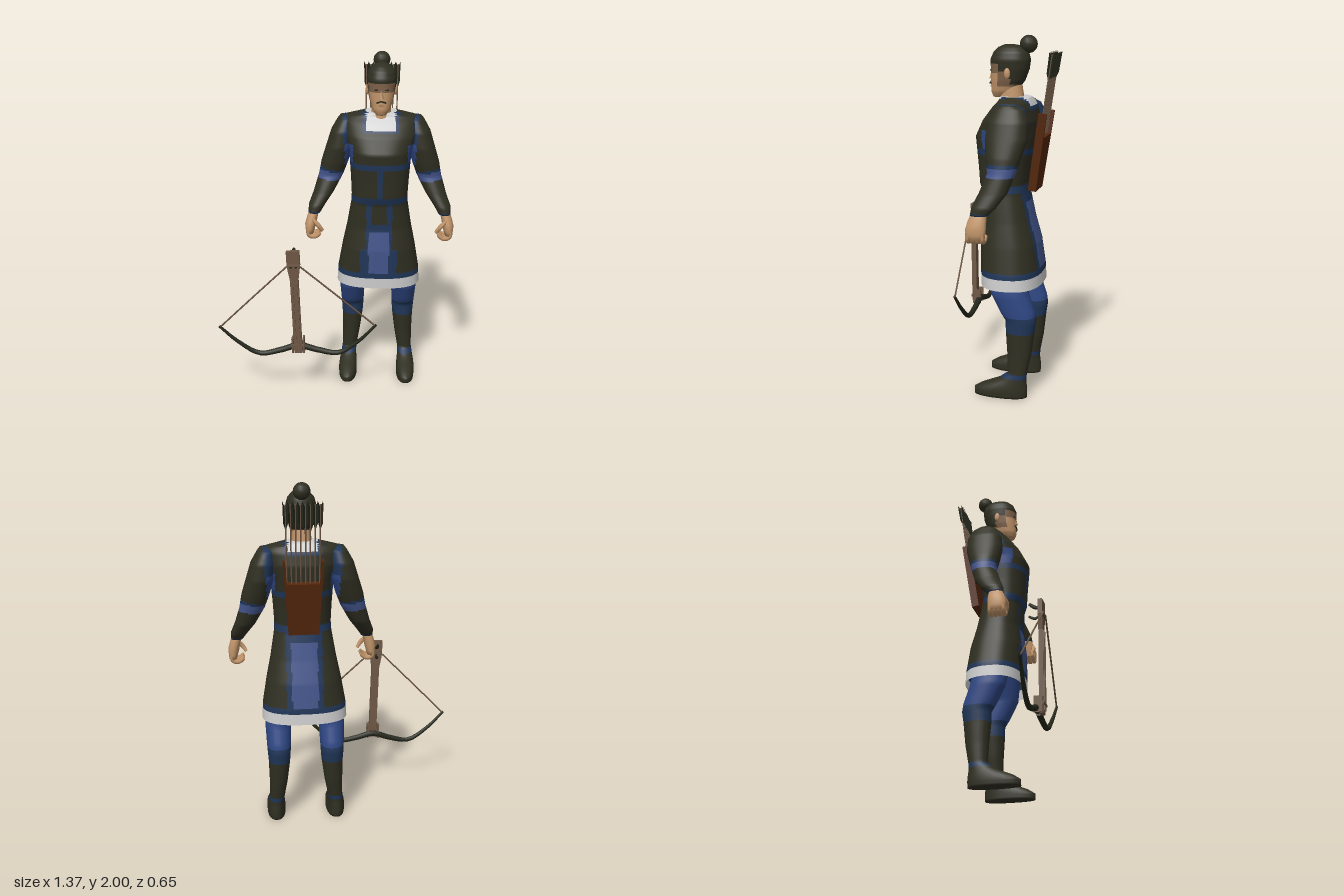
import * as THREE from 'three';

const mat = (name, color) => {
  const m = new THREE.MeshStandardMaterial({ color, side: THREE.DoubleSide });
  m.name = name;
  return m;
};

// Skins horizontal sections [y, x0, x1, z0, z1], listed bottom to top.
// pick(x, y, z) returns the material index of each small face.
function loft(name, rings, materials, { pick = () => 0, n = 2.3, cols = 24, step = 0.03, capBottom = true } = {}) {
  const rows = [];
  const point = r => [r[0], (r[1] + r[2]) / 2, (r[1] + r[2]) / 2, (r[3] + r[4]) / 2, (r[3] + r[4]) / 2];
  if (capBottom) rows.push(point(rings[0]));
  rings.forEach((r, i) => {
    const next = rings[i + 1];
    if (!next) { rows.push(r); return; }
    const parts = Math.max(1, Math.ceil((next[0] - r[0]) / step));
    for (let k = 0; k < parts; k++) rows.push(r.map((v, c) => v + (next[c] - v) * k / parts));
  });
  rows.push(point(rings[rings.length - 1]));
  const pos = [];
  for (const [y, x0, x1, z0, z1] of rows) {
    for (let j = 0; j < cols; j++) {
      const a = j / cols * Math.PI * 2, c = Math.cos(a), s = Math.sin(a);
      const r = (Math.abs(c) ** n + Math.abs(s) ** n) ** (-1 / n);
      pos.push((x0 + x1) / 2 + (x1 - x0) / 2 * c * r, y, (z0 + z1) / 2 + (z1 - z0) / 2 * s * r);
    }
  }
  const faces = materials.map(() => []);
  for (let i = 0; i < rows.length - 1; i++) {
    for (let j = 0; j < cols; j++) {
      const k = (j + 1) % cols;
      const a = i * cols + j, b = i * cols + k, c = b + cols, d = a + cols;
      const mid = [0, 1, 2].map(t => (pos[a * 3 + t] + pos[b * 3 + t] + pos[c * 3 + t] + pos[d * 3 + t]) / 4);
      faces[pick(...mid)].push(a, d, c, a, c, b);
    }
  }
  const geo = new THREE.BufferGeometry();
  geo.setAttribute('position', new THREE.Float32BufferAttribute(pos, 3));
  geo.setIndex(faces.flat());
  let start = 0;
  faces.forEach((f, m) => { geo.addGroup(start, f.length, m); start += f.length; });
  geo.computeVertexNormals();
  const mesh = new THREE.Mesh(geo, materials);
  mesh.name = name;
  return mesh;
}

function add(parent, name, geo, material, x = 0, y = 0, z = 0) {
  const mesh = new THREE.Mesh(geo, material);
  mesh.name = name;
  mesh.position.set(x, y, z);
  parent.add(mesh);
  return mesh;
}

// Tube through points, tapering towards both ends by the factor `ends`
function tube(points, radius, ends = 1, segs = 12, sides = 6) {
  const curve = new THREE.CatmullRomCurve3(points.map(p => new THREE.Vector3(...p)));
  const geo = new THREE.TubeGeometry(curve, segs, radius, sides);
  const p = geo.attributes.position, v = new THREE.Vector3();
  for (let i = 0; i < p.count; i++) {
    const t = Math.floor(i / (sides + 1)) / segs;
    const s = 1 - (1 - ends) * Math.abs(2 * t - 1);
    const c = curve.getPointAt(t);
    v.fromBufferAttribute(p, i).sub(c).multiplyScalar(s).add(c);
    p.setXYZ(i, v.x, v.y, v.z);
  }
  return geo;
}

const polygon = pts => new THREE.Shape(pts.map(p => new THREE.Vector2(...p)));

export function createModel() {
  const dark = mat('dark cloth', 0x302f22), trim = mat('navy trim', 0x203658), blue = mat('blue cloth', 0x2f4784);
  const light = mat('pale blue cloth', 0x43548a), white = mat('white linen', 0xcfcfcf), skin = mat('skin', 0xc2956a);
  const shade = mat('brown brow', 0x80634a), leather = mat('quiver leather', 0x54260b);
  const wood = mat('wood', 0x6e5846), black = mat('dark horn', 0x24271b);

  const model = new THREE.Group();
  const archer = new THREE.Group();
  archer.name = 'archer';
  archer.position.x = 0.245;
  model.add(archer);

  // Tunic with trimmed panels, collar and hem
  const D = 0, T = 1, B = 2, L = 3, W = 4;
  const tunicPaint = (x, y, z) => {
    const ax = Math.abs(x), front = z > -0.07, back = front ? 0 : 0.04;
    if (y < 0.7) return W;
    if (y < 0.73) return T;
    if (y > 1.59 + back && ax < 0.083) return W;
    if (y > 1.57 + back && ax < 0.105) return T;
    if (y > 1.5) return ax > 0.19 ? T : D;
    if (y > 1.365 && y < 1.405) return T;
    if (y > 1.4) return ax > 0.155 ? B : D;
    if (y > 1.2) return front && ax < 0.02 ? T : D;
    if (y > 1.16) return T;
    if (!front) return y < 1.1 && ax < 0.075 ? L : ax < 0.105 ? T : D;
    if (y > 1.03) return ax > 0.045 && ax < 0.075 ? T : D;
    if (y < 0.99 && ax < 0.06) return L;
    return ax < (y < 0.88 ? 0.11 : 0.075) ? T : D;
  };
  archer.add(loft('tunic', [
    [0.635, -0.248, 0.248, -0.26, 0.085], [0.72, -0.243, 0.243, -0.255, 0.088], [0.87, -0.217, 0.217, -0.235, 0.09],
    [1.0, -0.19, 0.19, -0.2, 0.075], [1.15, -0.165, 0.165, -0.17, 0.08], [1.2, -0.163, 0.163, -0.165, 0.098],
    [1.3, -0.168, 0.168, -0.18, 0.105], [1.46, -0.18, 0.18, -0.215, 0.12], [1.55, -0.21, 0.21, -0.22, 0.075],
    [1.62, -0.215, 0.215, -0.205, 0.02], [1.65, -0.2, 0.2, -0.19, -0.01], [1.675, -0.09, 0.09, -0.175, -0.015],
  ], [dark, trim, blue, light, white], { pick: tunicPaint, n: 2.5, cols: 128, step: 0.012, capBottom: false }));

  // Neck and head with painted hair
  archer.add(loft('neck', [[1.6, -0.062, 0.062, -0.15, 0], [1.76, -0.05, 0.05, -0.125, -0.015]], [skin]));
  archer.add(loft('head', [
    [1.67, -0.03, 0.03, -0.04, 0.03], [1.7, -0.052, 0.052, -0.1, 0.042], [1.76, -0.07, 0.07, -0.145, 0.042],
    [1.82, -0.08, 0.08, -0.168, 0.042], [1.87, -0.085, 0.085, -0.175, 0.045], [1.91, -0.074, 0.074, -0.165, 0.028],
    [1.937, -0.05, 0.05, -0.14, 0], [1.95, -0.02, 0.02, -0.1, -0.03],
  ], [skin, dark, shade], {
    cols: 40, step: 0.012,
    pick: (x, y, z) => y > 1.848 || (z < -0.075 && y > 1.74) || (z < -0.02 && y > 1.81) ? 1
      : y > 1.8 || (z < -0.005 && y > 1.73) ? 2 : 0,
  }));
  add(archer, 'hairBun', new THREE.SphereGeometry(0.048, 14, 10), dark, 0, 1.953, -0.165);
  const nose = add(archer, 'nose', new THREE.ConeGeometry(0.017, 0.055, 4), skin, 0, 1.795, 0.04);
  nose.scale.z = 0.9;
  add(archer, 'mouth', new THREE.BoxGeometry(0.025, 0.005, 0.006), shade, 0, 1.727, 0.042);
  for (const s of [-1, 1]) {
    add(archer, 'eye', new THREE.BoxGeometry(0.02, 0.006, 0.006), black, s * 0.03, 1.815, 0.037);
    add(archer, 'moustache', new THREE.BoxGeometry(0.028, 0.008, 0.008), black, s * 0.014, 1.748, 0.042).rotation.z = -s * 0.3;
    const ear = add(archer, 'ear', new THREE.SphereGeometry(0.025, 8, 6), skin, s * 0.08, 1.8, -0.065);
    ear.scale.set(0.4, 1.2, 0.7);
  }

  // Arms, hands and legs, mirrored left to right
  for (const s of [-1, 1]) {
    const limbs = new THREE.Group();
    limbs.name = s > 0 ? 'leftLimbs' : 'rightLimbs';
    limbs.scale.x = s;
    archer.add(limbs);
    limbs.add(loft('arm', [
      [1.09, 0.345, 0.415, -0.04, 0.055], [1.13, 0.32, 0.415, -0.08, 0.05], [1.2, 0.27, 0.388, -0.13, 0.02],
      [1.3, 0.215, 0.358, -0.165, -0.015], [1.38, 0.185, 0.343, -0.19, 0], [1.47, 0.16, 0.315, -0.215, 0.01],
      [1.56, 0.15, 0.287, -0.215, 0], [1.625, 0.15, 0.25, -0.19, -0.03], [1.645, 0.17, 0.235, -0.15, -0.06],
    ], [dark, trim, light, blue], {
      step: 0.01, cols: 32,
      pick: (x, y) => {
        const h = y + (x - 0.29) * -0.15;
        if (y < 1.105 || (h > 1.325 && h < 1.34)) return 1;
        if (h > 1.275 && h <= 1.325) return 2;
        if (y > 1.36 && y < 1.5 && x < 0.205) return 3;
        return y > 1.5 && x < 0.215 ? 1 : 0;
      },
    }));
    limbs.add(loft('palm', [
      [0.965, 0.385, 0.43, -0.03, 0.07], [1.02, 0.37, 0.435, -0.035, 0.075], [1.07, 0.36, 0.422, -0.035, 0.06],
      [1.11, 0.35, 0.405, -0.03, 0.045],
    ], [skin]));
    for (let i = 0; i < 4; i++) {
      const z = -0.018 + i * 0.026;
      add(limbs, 'finger', tube([[0.415, 1.0, z], [0.41, 0.962, z], [0.375, 0.952, z], [0.345, 0.972, z]], 0.015, 0.8), skin);
    }
    add(limbs, 'thumb', tube([[0.39, 1.06, 0.055], [0.355, 1.025, 0.068], [0.33, 0.99, 0.06]], 0.014, 0.7), skin);

    limbs.add(loft('leg', [
      [0, 0.125, 0.235, -0.205, 0.1], [0.035, 0.125, 0.237, -0.207, 0.1], [0.06, 0.127, 0.234, -0.205, 0.06],
      [0.1, 0.132, 0.225, -0.2, -0.04], [0.14, 0.13, 0.218, -0.203, -0.095], [0.25, 0.11, 0.217, -0.225, -0.09],
      [0.38, 0.093, 0.22, -0.24, -0.08], [0.45, 0.088, 0.225, -0.25, -0.078], [0.5, 0.086, 0.228, -0.243, -0.045],
      [0.6, 0.081, 0.233, -0.208, 0.005], [0.76, 0.03, 0.215, -0.18, 0.03],
    ], [dark, trim, blue], {
      step: 0.015, pick: (x, y) => y > 0.47 ? 2 : y > 0.38 || (y > 0.115 && y < 0.135) ? 1 : 0,
    }));
  }

  // Quiver of arrows leaning away from the back
  const quiver = new THREE.Group();
  quiver.name = 'quiver';
  quiver.position.set(0.003, 1.17, -0.205);
  quiver.rotation.x = -0.146;
  archer.add(quiver);
  const quiverShape = polygon([[-0.085, 0], [0.085, 0], [0.112, 0.43], [0.1, 0.43], [0.09, 0.3], [-0.09, 0.3], [-0.1, 0.43], [-0.112, 0.43]]);
  add(quiver, 'quiverCase', new THREE.ExtrudeGeometry(quiverShape, { depth: 0.045, bevelEnabled: false }), leather, 0, 0, -0.0225);
  const featherGeo = new THREE.ShapeGeometry(polygon([[0, 0.6], [0.017, 0.64], [0.02, 0.755], [0, 0.725]]));
  for (let i = 0; i < 8; i++) {
    const arrow = new THREE.Group();
    arrow.name = 'arrow';
    arrow.position.x = (i - 3.5) * 0.025;
    arrow.rotation.z = -(i - 3.5) * 0.002;
    quiver.add(arrow);
    add(arrow, 'arrowShaft', new THREE.CylinderGeometry(0.0045, 0.0045, 0.5, 6), wood, 0, 0.49, 0);
    for (let k = 0; k < 4; k++) add(arrow, 'feather', featherGeo, black).rotation.y = Math.PI / 4 + k * Math.PI / 2;
  }

  // Crossbow standing upright beside the archer
  const crossbow = new THREE.Group();
  crossbow.name = 'crossbow';
  crossbow.position.set(-0.217, 0.335, 0.275);
  crossbow.rotation.set(0.02, 0, 0.035);
  model.add(crossbow);
  const stockShape = polygon([[-0.024, -0.03], [0.024, -0.03], [0.024, 0.44], [0.038, 0.53], [0.038, 0.618], [-0.038, 0.618], [-0.038, 0.53], [-0.024, 0.44]]);
  add(crossbow, 'stock', new THREE.ExtrudeGeometry(stockShape, { depth: 0.025, bevelEnabled: false }), wood, 0, 0, -0.002);
  add(crossbow, 'bow', tube([
    [-0.46, 0.14, 0], [-0.36, 0.035, -0.008], [-0.235, -0.048, -0.013], [-0.11, -0.03, -0.017], [0, 0, -0.018],
    [0.11, -0.03, -0.017], [0.235, -0.048, -0.013], [0.36, 0.035, -0.008], [0.46, 0.14, 0],
  ], 0.02, 0.4, 32, 8), black);
  for (const s of [-1, 1]) {
    add(crossbow, 'string', tube([[s * 0.455, 0.135, 0], [s * 0.245, 0.335, 0.014], [s * 0.032, 0.535, 0.028]], 0.005, 1, 4), wood);
    add(crossbow, 'bowClamp', new THREE.BoxGeometry(0.01, 0.09, 0.05), wood, s * 0.033, 0.015, -0.004);
    add(crossbow, 'stockRail', new THREE.BoxGeometry(0.01, 0.45, 0.008), wood, s * 0.012, 0.21, 0.026);
    add(crossbow, 'stringPeg', new THREE.CylinderGeometry(0.008, 0.008, 0.01, 8), black, s * 0.014, 0.525, 0.023).rotation.x = Math.PI / 2;
  }
  add(crossbow, 'clampBar', new THREE.BoxGeometry(0.08, 0.015, 0.012), wood, 0, 0.02, 0.024);
  add(crossbow, 'stringNock', new THREE.BoxGeometry(0.075, 0.01, 0.01), wood, 0, 0.535, 0.027);
  add(crossbow, 'trigger', tube([[0, 0.53, 0], [0, 0.515, -0.025], [0, 0.53, -0.06]], 0.008, 0.8), black);
  add(crossbow, 'sightHook', tube([[0, 0.575, 0], [0, 0.585, -0.03], [0, 0.605, -0.058]], 0.011, 0.8), black);
  return model;
}
